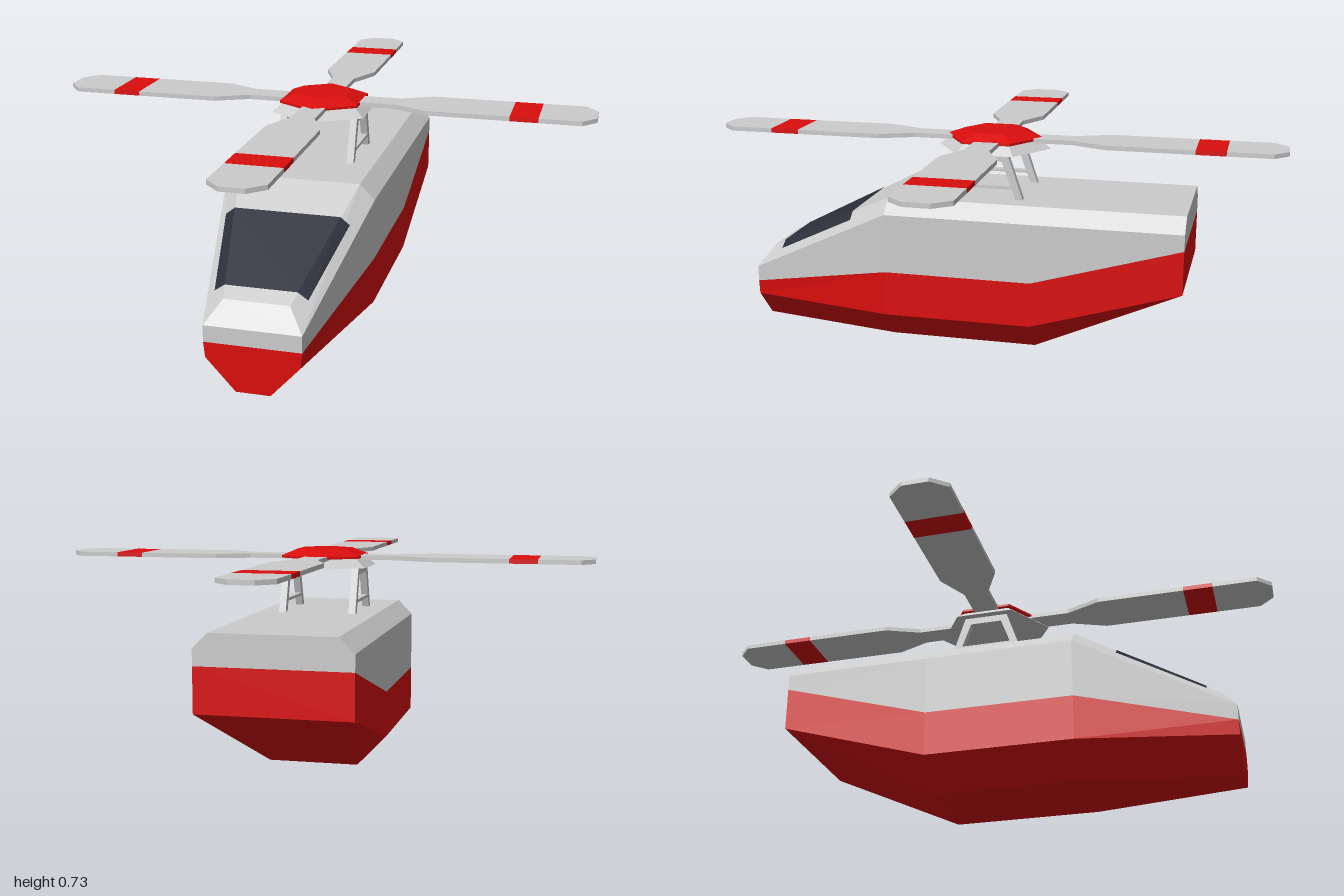
import * as THREE from 'three';

const mat = (color) => new THREE.MeshStandardMaterial({ color, flatShading: true });
const grey = mat(0xcccccc), red = mat(0xd90d0d), glass = mat(0x2c2f3b);

// Flat-faced geometry from quads, corners counter-clockwise seen from outside
function fromQuads(quads) {
  const pos = [];
  const tri = (a, b, c) => {
    if (new THREE.Triangle(a, b, c).getArea() > 1e-7) for (const p of [a, b, c]) pos.push(p.x, p.y, p.z);
  };
  for (const [a, b, c, d] of quads) { tri(a, b, c); tri(a, c, d); }
  const g = new THREE.BufferGeometry();
  g.setAttribute('position', new THREE.Float32BufferAttribute(pos, 3));
  g.computeVertexNormals();
  return g;
}

const V = (x, y, z) => new THREE.Vector3(x, y, z);
const mirror = (p) => V(-p.x, p.y, p.z);

// Left half of each hull section, nose to tail:
// keel edge, chine, colour line, shoulder, roof edge
const sections = [
  [V(0.055, 0, 0.85), V(0.15, 0.105, 0.85), V(0.155, 0.155, 0.85), V(0.155, 0.21, 0.85), V(0.105, 0.28, 0.8)],
  ...[0.33, -0.18].map((z) => [V(0.155, 0, z), V(0.255, 0.105, z), V(0.255, 0.26, z), V(0.255, 0.465, z), V(0.205, 0.515, z)]),
  [V(0.255, 0.26, -0.69), V(0.255, 0.26, -0.69), V(0.255, 0.41, -0.69), V(0.255, 0.465, -0.69), V(0.205, 0.515, -0.69)],
];

// Band of the hull between two profile points, with nose and tail faces
function hullBand(from, to, isTop) {
  const quads = [];
  const last = sections.length - 1;
  for (let i = from; i < to; i++) {
    for (let s = 0; s < last; s++) {
      const q = [sections[s][i], sections[s + 1][i], sections[s + 1][i + 1], sections[s][i + 1]];
      quads.push(q, q.map(mirror).reverse());
    }
    const cap = (s) => [s[i], s[i + 1], mirror(s[i + 1]), mirror(s[i])];
    quads.push(cap(sections[0]), cap(sections[last]).reverse());
  }
  // roof or keel panels
  const e = isTop ? to : from;
  for (let s = 0; s < last; s++) {
    const a = sections[s][e], b = sections[s + 1][e];
    const q = [a, b, mirror(b), mirror(a)];
    quads.push(isTop ? q : q.reverse());
  }
  return fromQuads(quads);
}

// Windscreen lying on the sloped roof and wrapping onto both bevels
function windscreen() {
  const lift = 0.004;
  const onEdge = (i, z) => {
    const a = sections[0][i], b = sections[1][i];
    return a.clone().lerp(b, (a.z - z) / (a.z - b.z));
  };
  const [low, high] = [0.755, 0.47].map((z) => {
    const inner = onEdge(4, z);
    const outer = inner.clone().lerp(onEdge(3, z), 0.5);
    inner.y += lift;
    outer.add(V(lift, lift, 0));
    return { inner, outer };
  });
  const side = [low.outer, high.outer, high.inner, low.inner];
  return fromQuads([
    [low.inner, high.inner, mirror(high.inner), mirror(low.inner)],
    side, side.map(mirror).reverse(),
  ]);
}

// Slab along +x from [distance, half width] points
function bladeSlab(profile) {
  const pts = [...profile, ...profile.map(([r, w]) => [r, -w]).reverse()];
  const shape = new THREE.Shape(pts.map(([r, w]) => new THREE.Vector2(r, w)));
  return new THREE.ExtrudeGeometry(shape, { depth: 0.015, bevelEnabled: false }).rotateX(-Math.PI / 2);
}

// A-frame with a crossbar, standing in the yz plane
function mastFrame() {
  const vec = (pts) => pts.map(([x, y]) => new THREE.Vector2(x, y));
  const shape = new THREE.Shape(vec([
    [-0.13, 0.51], [-0.105, 0.51], [-0.09, 0.55], [0.09, 0.55],
    [0.105, 0.51], [0.13, 0.51], [0.075, 0.672], [-0.075, 0.672],
  ]));
  shape.holes.push(new THREE.Path(vec([[-0.087, 0.56], [-0.055, 0.645], [0.055, 0.645], [0.087, 0.56]])));
  return new THREE.ExtrudeGeometry(shape, { depth: 0.024, bevelEnabled: false })
    .translate(0, 0, -0.012).rotateY(Math.PI / 2);
}

export function createModel() {
  const model = new THREE.Group();
  model.name = 'helicopter';
  const add = (parent, name, geometry, material) => {
    const mesh = new THREE.Mesh(geometry, material);
    mesh.name = name;
    parent.add(mesh);
    return mesh;
  };

  // Body
  add(model, 'lowerHull', hullBand(0, 2, false), red);
  add(model, 'upperHull', hullBand(2, 4, true), grey);
  add(model, 'windscreen', windscreen(), glass);

  // Mast frames
  for (const s of [-1, 1]) {
    add(model, s > 0 ? 'leftMastFrame' : 'rightMastFrame', mastFrame(), grey).position.x = s * 0.123;
  }

  // Rotor, slightly longer fore and aft
  const rotor = new THREE.Group();
  rotor.name = 'rotor';
  rotor.scale.z = 1.075;
  model.add(rotor);
  add(rotor, 'rotorFlange', new THREE.CylinderGeometry(0.15, 0.185, 0.027, 6), grey).position.y = 0.6825;
  add(rotor, 'rotorCap', new THREE.CylinderGeometry(0.1, 0.157, 0.022, 6), red).position.y = 0.719;
  add(rotor, 'rotorCapRim', new THREE.CylinderGeometry(0.157, 0.157, 0.008, 6), red).position.y = 0.704;

  // Four blades with coloured stripes
  const pieces = [
    ['bladeRoot', [[0.02, 0.04], [0.26, 0.04], [0.37, 0.09], [0.65, 0.09]], grey],
    ['bladeStripe', [[0.65, 0.09], [0.744, 0.09]], red],
    ['bladeTip', [[0.744, 0.09], [0.885, 0.09], [0.93, 0.04]], grey],
  ];
  for (let i = 0; i < 4; i++) {
    const blade = new THREE.Group();
    blade.name = 'blade' + (i + 1);
    blade.position.y = 0.694;
    blade.rotation.y = i * Math.PI / 2;
    for (const [name, profile, material] of pieces) add(blade, name, bladeSlab(profile), material);
    rotor.add(blade);
  }
  return model;
}
